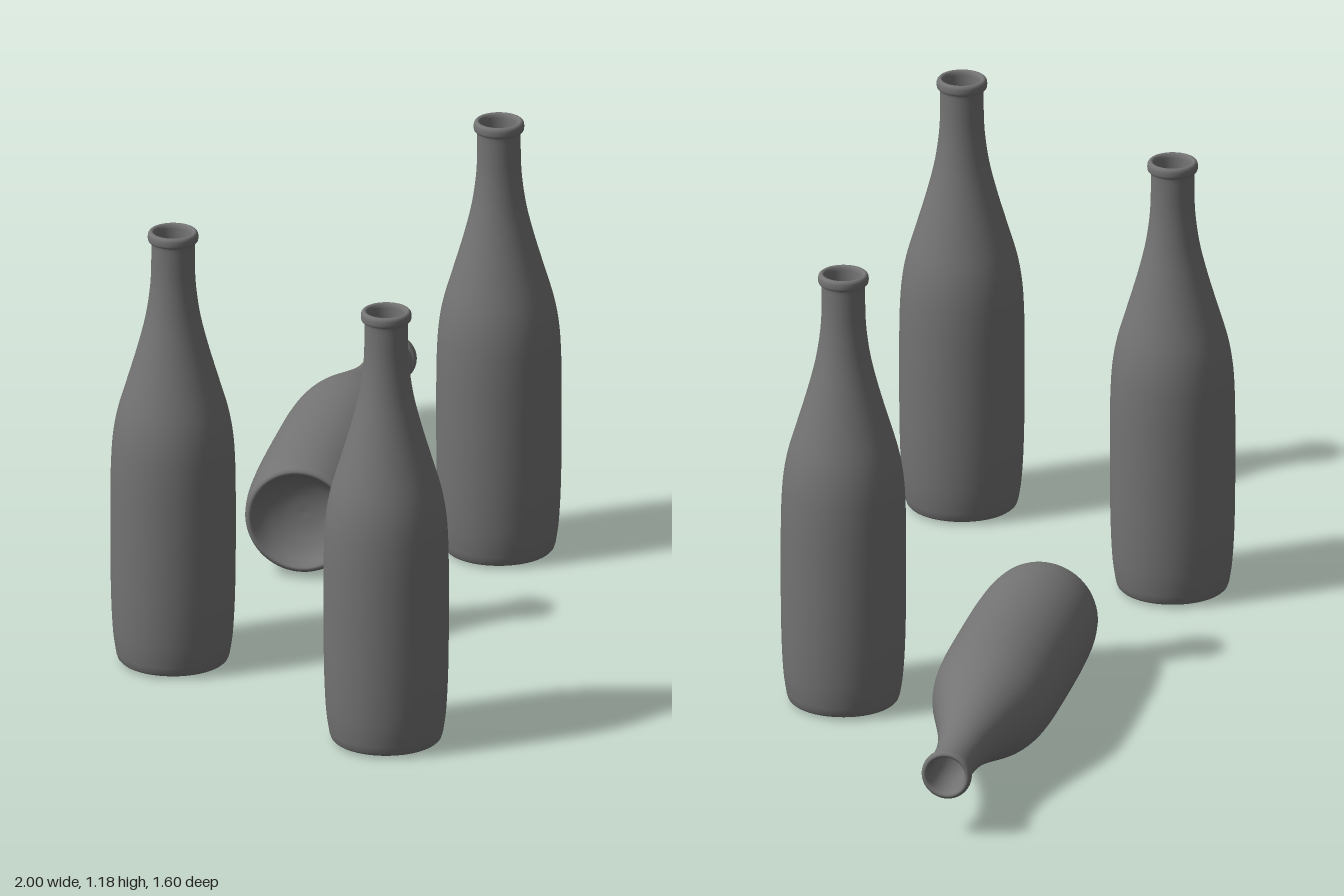
import * as THREE from 'three';

const smooth = (pts, n) =>
  new THREE.SplineCurve(pts.map(p => new THREE.Vector2(...p))).getPoints(n);

// Closed glass profile: punt, outer wall, lip, inner wall, inner floor
function bottleProfile() {
  const punt = smooth([[0, 0.06], [0.05, 0.054], [0.1, 0.032], [0.128, 0.002]], 10);
  const foot = smooth([[0.131, 0], [0.137, 0.001], [0.142, 0.006]], 4);
  const wall = smooth([
    [0.146, 0.018], [0.154, 0.075], [0.159, 0.17], [0.161, 0.3], [0.161, 0.45], [0.1595, 0.54],
    [0.1545, 0.615], [0.142, 0.685], [0.117, 0.77], [0.092, 0.855], [0.072, 0.935],
    [0.061, 1.005], [0.0565, 1.065], [0.056, 1.14],
  ], 56);
  const lip = smooth([
    [0.057, 1.146], [0.063, 1.149], [0.065, 1.156], [0.0645, 1.167],
    [0.061, 1.173], [0.056, 1.175], [0.051, 1.172], [0.048, 1.164],
  ], 24);
  const inside = smooth([
    [0.0465, 1.145], [0.046, 1.065], [0.051, 1.005], [0.062, 0.935], [0.082, 0.855], [0.107, 0.77],
    [0.132, 0.685], [0.1445, 0.615], [0.151, 0.5], [0.151, 0.3], [0.148, 0.15], [0.138, 0.04],
    [0.128, 0.025], [0.1, 0.044], [0.05, 0.066], [0, 0.072],
  ], 50);
  return [...punt, ...foot, ...wall, ...lip, ...inside];
}

export function createModel() {
  const group = new THREE.Group();
  const geometry = new THREE.LatheGeometry(bottleProfile(), 64);
  const material = new THREE.MeshStandardMaterial({ color: 0x737373 });

  const addBottle = (name, x, y, z) => {
    const bottle = new THREE.Mesh(geometry, material);
    bottle.name = name;
    bottle.position.set(x, y, z);
    group.add(bottle);
    return bottle;
  };

  // Three standing bottles
  addBottle('frontBottle', -0.839, 0.008, 0.639);
  addBottle('rearBottle', -0.73, 0.008, -0.138);
  addBottle('middleBottle', 0.401, 0.008, 0.043);

  // Bottle lying on its side, neck pointing back and to the left
  const lying = addBottle('lyingBottle', -0.08, 0.161, -0.232);
  const axis = new THREE.Vector3(1.05, 0.009, -0.513).normalize();
  lying.quaternion.setFromUnitVectors(new THREE.Vector3(0, 1, 0), axis);

  return group;
}
